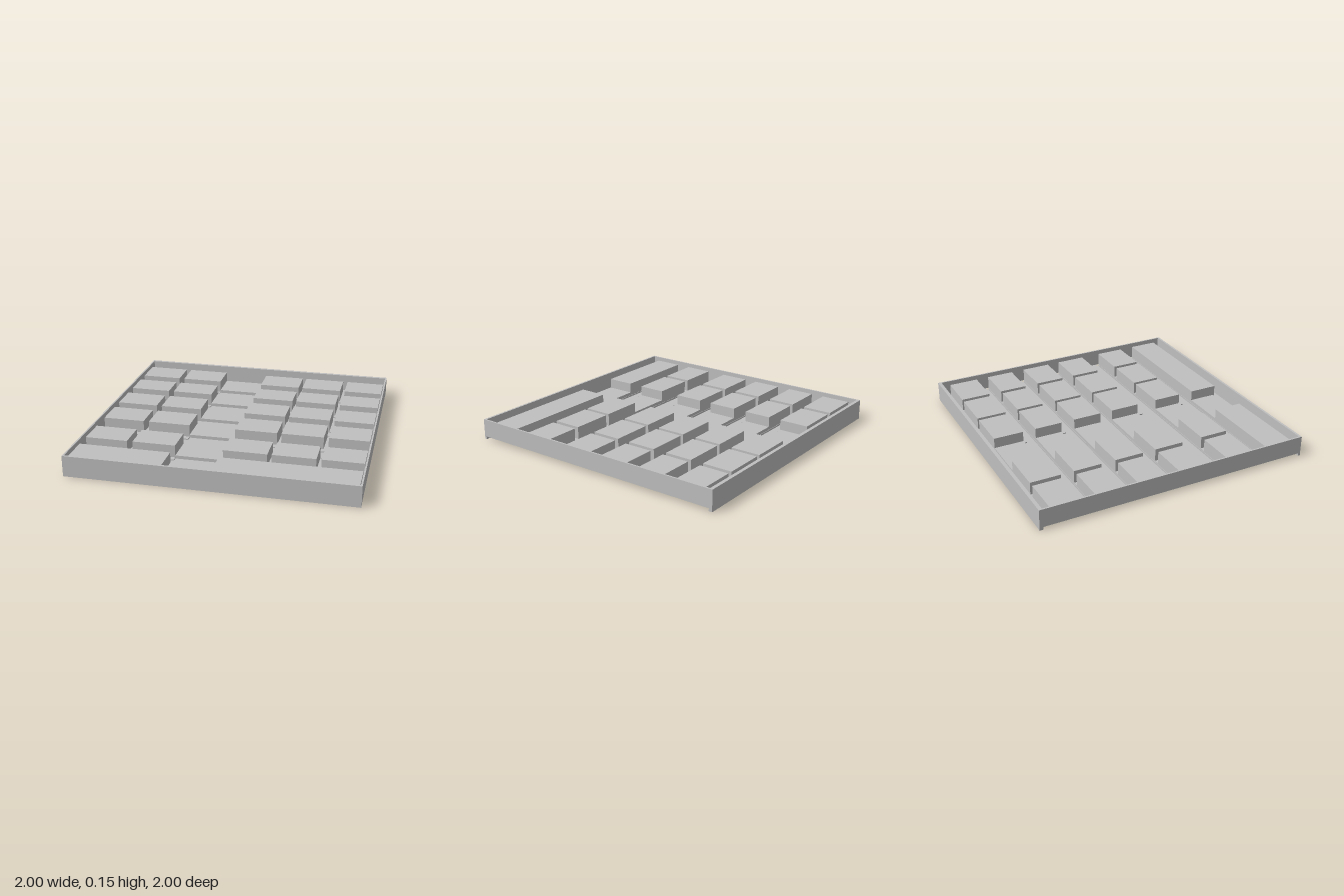
import * as THREE from 'three';

export function createModel() {
  const group = new THREE.Group();
  group.name = 'compartmentTray';
  const grey = new THREE.MeshStandardMaterial({ color: 0xbfbfbf, side: THREE.DoubleSide });
  grey.name = 'plainGrey';

  const FLOOR = 0.022, RIM = 0.15, BLOCK = 0.12, PLATE = 0.045, LEDGE = 0.03;

  const add = (name, geometry) => {
    const mesh = new THREE.Mesh(geometry, grey);
    mesh.name = name;
    group.add(mesh);
    return mesh;
  };
  // Solid box from its limits
  const box = (name, x0, x1, y0, y1, z0, z1) => add(name,
    new THREE.BoxGeometry(x1 - x0, y1 - y0, z1 - z0)
      .translate((x0 + x1) / 2, (y0 + y1) / 2, (z0 + z1) / 2));
  // Hollow box, open underneath (BoxGeometry face 3 is the bottom)
  const shell = (name, x0, x1, y0, y1, z0, z1) => {
    const mesh = box(name, x0, x1, y0, y1, z0, z1);
    const index = Array.from(mesh.geometry.index.array);
    index.splice(18, 6);
    mesh.geometry.setIndex(index);
    mesh.geometry.clearGroups();
  };
  // Rectangle path in plan; shape y is -z
  const rectangle = (path, x0, x1, z0, z1) => {
    path.moveTo(x0, -z1);
    path.lineTo(x1, -z1);
    path.lineTo(x1, -z0);
    path.lineTo(x0, -z0);
    path.closePath();
    return path;
  };

  // Rim walls: front and back reach the ground
  box('frontWall', -1, 1, 0, RIM, 0.984, 1);
  box('backWall', -1, 1, 0, RIM, -1, -0.975);
  for (const s of [-1, 1]) {
    box(s > 0 ? 'leftWall' : 'rightWall', s * 0.994 - 0.006, s * 0.994 + 0.006,
      0.02, RIM, -0.975, 0.984);
  }

  // Rows: groove start, block back, block front, ledge front, middle plate front
  const rows = [
    [-0.933, -0.91, -0.69, -0.665, -0.69],
    [-0.617, -0.594, -0.39, -0.355, -0.39],
    [-0.308, -0.286, -0.07, -0.07, -0.07],
    [0.002, 0.026, 0.245, 0.288, 0.245],
    [0.375, 0.4, 0.61, 0.647, 0.61],
    [0.7, 0.724, 0.935, 0.935, 0.924],
  ];
  const small = [[-0.985, -0.68], [-0.64, -0.33], [0.01, 0.32], [0.35, 0.655], [0.69, 0.98]];
  const large = [[-0.985, -0.33], [0.01, 0.98]];

  const floor = rectangle(new THREE.Shape(), -0.988, 0.988, -0.975, 0.984);

  rows.forEach(([g0, z0, z1, ledgeZ, plateZ], i) => {
    const blocks = i === 5 ? large : small;
    // Hollow raised blocks with openings below
    for (const [x0, x1] of blocks) {
      shell('raisedBlock', x0, x1, FLOOR, BLOCK, z0, z1);
      floor.holes.push(rectangle(new THREE.Path(), x0, x1, z0, z1));
    }
    // Low ledges in front of and between the blocks
    if (ledgeZ > z1) {
      for (const [x0, x1] of large) box('frontLedge', x0, x1, FLOOR, LEDGE, z1, ledgeZ);
    }
    if (i < 5) {
      for (const k of [0, 2, 3]) {
        box('gapLedge', small[k][1], small[k + 1][0], FLOOR, LEDGE, z0, z1);
      }
    }
    // Low middle plate
    shell('middlePlate', -0.33, 0.01, FLOOR, PLATE, z0, plateZ);

    // Rounded groove pressed down through the floor
    const g1 = z0 - 0.003, r = (g1 - g0) / 2, zc = (g0 + g1) / 2, end = 0.985 - r;
    const outline = new THREE.Path();
    outline.absarc(end, -zc, r, -Math.PI / 2, Math.PI / 2, false);
    outline.absarc(-end, -zc, r, Math.PI / 2, Math.PI * 1.5, false);
    outline.closePath();
    floor.holes.push(outline);
    const base = new THREE.Shape(outline.getPoints(6));
    add('grooveBase', new THREE.ShapeGeometry(base).rotateX(-Math.PI / 2)).position.y = 0.01;
    for (const z of [g0, g1]) {
      add('grooveSide', new THREE.PlaneGeometry(end * 2, FLOOR - 0.01))
        .position.set(0, (FLOOR + 0.01) / 2, z);
    }
  });

  // Floor sheet with openings
  add('floor', new THREE.ShapeGeometry(floor, 6).rotateX(-Math.PI / 2)).position.y = FLOOR;

  return group;
}
